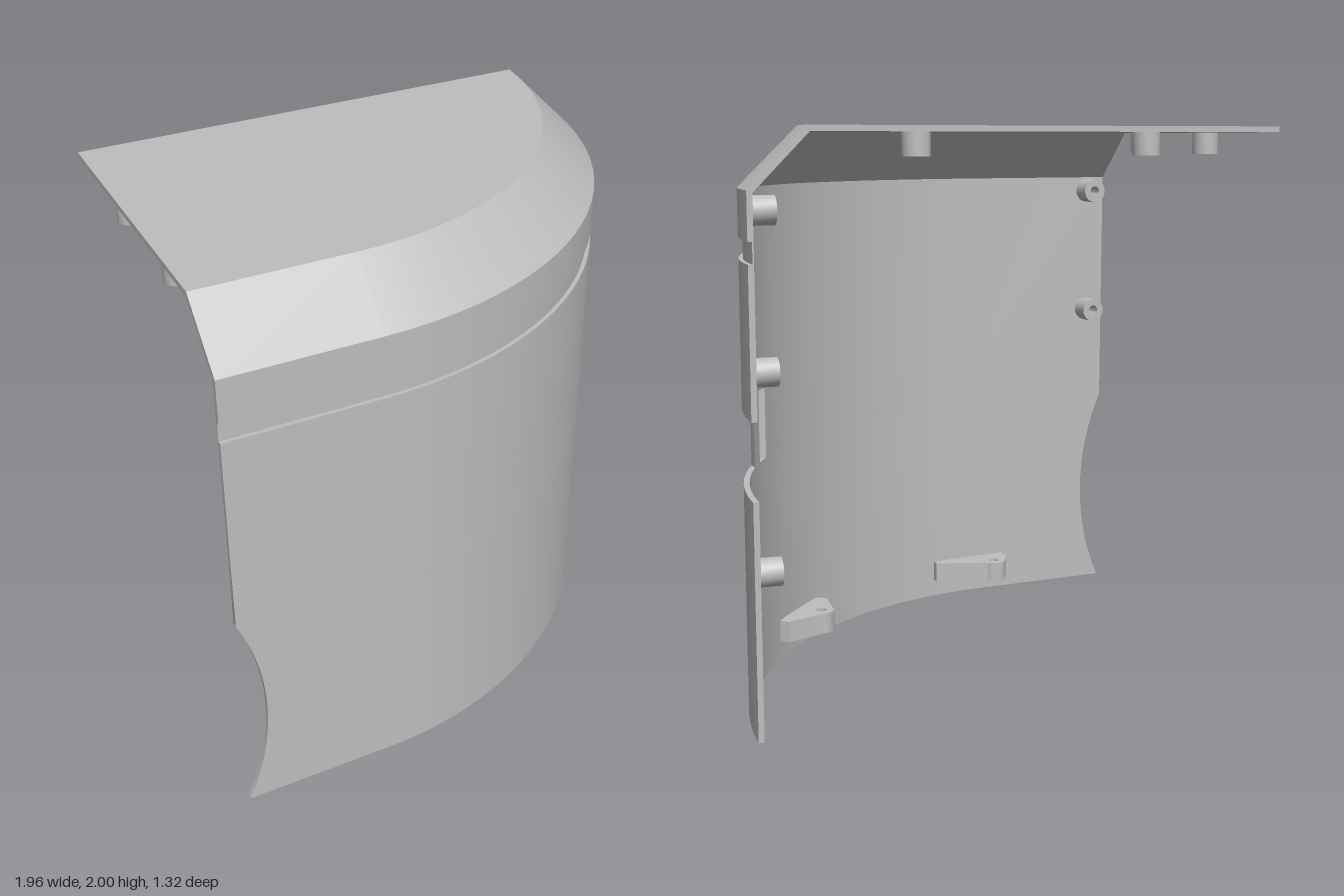
import * as THREE from 'three';
import { toCreasedNormals } from 'three/addons/utils/BufferGeometryUtils.js';

const CX = -0.42, CZ = -0.74, R = 1.4, T = 0.02; // plan arc centre, radius, wall thickness
const LEFT = -0.98, BACK = -0.66, SEGS = 24;
const SLOT_LOW = 0.81, SLOT_HIGH = 1.07;

const grey = new THREE.MeshStandardMaterial({ color: 0xbebebe });
grey.name = 'light grey';

function part(name, geometry) {
  const g = geometry.index ? geometry.toNonIndexed() : geometry;
  const mesh = new THREE.Mesh(toCreasedNormals(g, 0.5), grey);
  mesh.name = name;
  return mesh;
}

// Points [x, z] on an arc of radius r between two angles
function arc(r, from, to) {
  return Array.from({ length: SEGS + 1 }, (_, i) => {
    const a = from + (to - from) * i / SEGS;
    return [CX + r * Math.cos(a), CZ + r * Math.sin(a)];
  });
}
const frontEnd = () => Math.PI / 2;
const atZ = z => r => Math.asin((z - CZ) / r);
const atX = x => r => Math.acos((x - CX) / r);

// Straight front run followed by the arc, inset from the outer face
function plan(inset) {
  const r = R - inset;
  return [[LEFT, CZ + r], ...arc(r, Math.PI / 2, atZ(BACK)(r))];
}

// Raise a plan outline from y0 to y1
function slab(shape, y0, y1) {
  const g = new THREE.ExtrudeGeometry(shape, { depth: y1 - y0, bevelEnabled: false, curveSegments: 10 });
  return g.rotateX(-Math.PI / 2).translate(0, y0, 0);
}
const outline = points => new THREE.Shape(points.map(([x, z]) => new THREE.Vector2(x, -z)));

// Piece of curved wall whose ends are cut by the two angle rules
function curvedWall(name, y0, y1, start, end) {
  const outer = arc(R, start(R), end(R));
  const inner = arc(R - T, start(R - T), end(R - T));
  return part(name, slab(outline([...outer, ...inner.reverse()]), y0, y1));
}

// Sweep a closed [inset, y] profile along the whole plan
function sweep(profile) {
  const rails = profile.map(([inset, y]) => plan(inset).map(([x, z]) => [x, y, z]));
  const n = profile.length, last = rails[0].length - 1, pos = [];
  const tri = (...corners) => corners.forEach(c => pos.push(...c));
  for (let i = 0; i < last; i++) {
    for (let j = 0; j < n; j++) {
      const k = (j + 1) % n;
      tri(rails[j][i], rails[j][i + 1], rails[k][i + 1]);
      tri(rails[j][i], rails[k][i + 1], rails[k][i]);
    }
  }
  const flat = profile.map(([inset, y]) => new THREE.Vector2(-inset, y));
  for (const [a, b, c] of THREE.ShapeUtils.triangulateShape(flat, [])) {
    tri(rails[a][0], rails[b][0], rails[c][0]);
    tri(rails[a][last], rails[c][last], rails[b][last]);
  }
  const g = new THREE.BufferGeometry();
  g.setAttribute('position', new THREE.Float32BufferAttribute(pos, 3));
  return g;
}

// Hollow screw boss pointing along a direction
function boss(position, direction) {
  const ring = new THREE.Shape().absarc(0, 0, 0.048, 0, Math.PI * 2, false);
  ring.holes.push(new THREE.Path().absarc(0, 0, 0.02, 0, Math.PI * 2, true));
  const mesh = part('screwBoss', new THREE.ExtrudeGeometry(ring, { depth: 0.085, bevelEnabled: false, curveSegments: 10 }));
  mesh.position.set(...position);
  mesh.quaternion.setFromUnitVectors(new THREE.Vector3(0, 0, 1), new THREE.Vector3(...direction).normalize());
  return mesh;
}

// Mounting lug on the inner wall: s0..s1 along the wall, rounded nose with a hole
function lug(angle, s0, s1) {
  const base = s => s * s / (2 * (R - T)) - 0.006;
  const s = new THREE.Shape();
  s.moveTo(s0, base(s0));
  s.lineTo(s1, base(s1));
  s.lineTo(s1, 0.05);
  s.absarc(0, 0.095, 0.05, Math.PI * 0.2, Math.PI * 0.8, false);
  s.lineTo(s0, 0.05);
  s.closePath();
  s.holes.push(new THREE.Path().absarc(0, 0.095, 0.02, 0, Math.PI * 2, true));
  const mesh = part('mountingLug', slab(s, 0.07, 0.15));
  mesh.position.set(CX + (R - T) * Math.cos(angle), 0, CZ + (R - T) * Math.sin(angle));
  mesh.rotation.y = Math.PI / 2 - angle;
  return mesh;
}

export function createModel() {
  const model = new THREE.Group();
  model.name = 'quarterShell';

  // Upper wall with groove and sloped shoulder
  model.add(part('upperWall', sweep([
    [0, SLOT_HIGH], [0, 1.57], [0.015, 1.57], [0.015, 1.64], [0, 1.64], [0, 1.8],
    [0.2, 2], [0.208, 1.98], [T, 1.792], [T, SLOT_HIGH],
  ])));

  // Flat lid
  model.add(part('lid', slab(outline([...plan(0.2), [LEFT, BACK]]), 1.98, 2)));

  // Flat front panel with a round bite in its free edge
  const bite = Math.asin(0.415);
  const panel = new THREE.Shape();
  panel.moveTo(LEFT, SLOT_HIGH);
  panel.lineTo(CX, SLOT_HIGH);
  panel.lineTo(CX, 0);
  panel.lineTo(LEFT, 0);
  panel.absarc(LEFT - Math.cos(bite), 0.415, 1, -bite, bite, false);
  panel.closePath();
  const panelGeo = new THREE.ExtrudeGeometry(panel, { depth: T, bevelEnabled: false, curveSegments: 20 });
  model.add(part('frontPanel', panelGeo.translate(0, 0, CZ + R - T)));

  // Curved wall below and beside the slit and the notch
  model.add(curvedWall('lowerWall', 0, SLOT_LOW, frontEnd, atZ(BACK)));
  model.add(curvedWall('middleWall', SLOT_LOW, SLOT_HIGH, frontEnd, atZ(0)));
  model.add(curvedWall('slotBar', SLOT_LOW, SLOT_HIGH, atX(0.79), atX(0.83)));

  // Screw bosses on the curved side, the front panel and the lid
  const a = atZ(-0.6)(R - T);
  const side = [CX + 1.385 * Math.cos(a), CZ + 1.385 * Math.sin(a)];
  for (const y of [0.56, 1.22, 1.735]) {
    model.add(boss([side[0], y, side[1]], [-Math.cos(a), 0, -Math.sin(a)]));
  }
  for (const y of [1.22, 1.735]) model.add(boss([-0.9, y, 0.645], [0, 0, -1]));
  for (const [x, z] of [[-0.47, -0.6], [0.39, -0.6], [-0.92, -0.27], [-0.92, 0.2]]) {
    model.add(boss([x, 1.985, z], [0, -1, 0]));
  }

  // Mounting lugs near the bottom
  model.add(lug(Math.PI / 4, -0.14, 0.18));
  model.add(lug(Math.PI / 2, -0.08, 0.25));
  return model;
}
